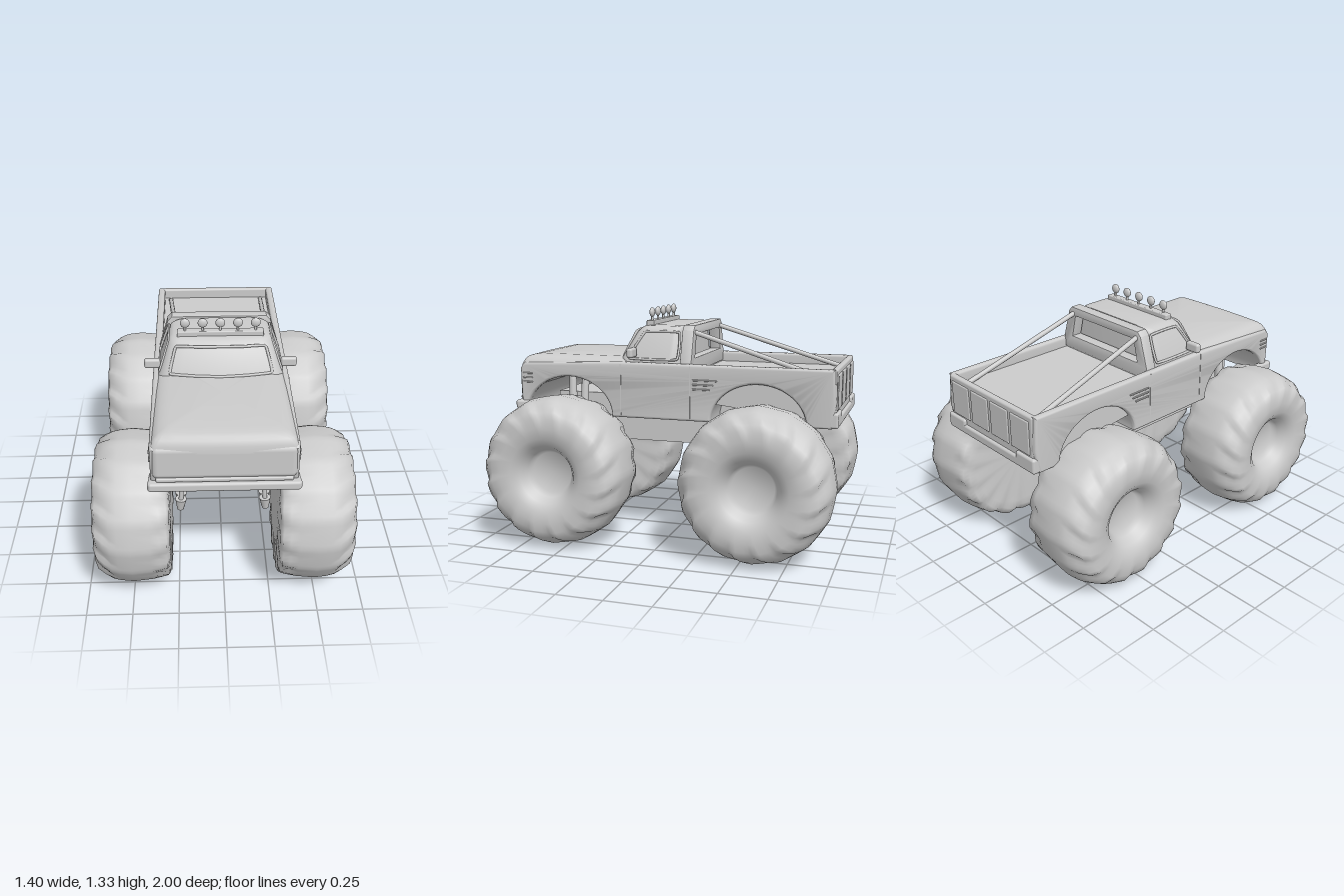
import * as THREE from 'three';
import { mergeVertices, toCreasedNormals } from 'three/addons/utils/BufferGeometryUtils.js';
import { RoundedBoxGeometry } from 'three/addons/geometries/RoundedBoxGeometry.js';

const grey = new THREE.MeshStandardMaterial({ color: 0xcccccc });
const V = (x, y, z) => new THREE.Vector3(x, y, z);

function add(parent, name, geo, x = 0, y = 0, z = 0) {
  const m = new THREE.Mesh(geo, grey);
  m.name = name;
  m.position.set(x, y, z);
  parent.add(m);
  return m;
}
const rbox = (w, h, d, r = 0.01) => new RoundedBoxGeometry(w, h, d, 3, r);
const poly = pts => new THREE.Shape(pts.map(p => new THREE.Vector2(...p)));

// Extrudes a (z, y) outline across x, from x0 to x1, with an optional bevel inside the outline
function sideExtrude(shape, x0, x1, bevel = 0) {
  const g = new THREE.ExtrudeGeometry(shape, {
    depth: x1 - x0 - 2 * bevel, curveSegments: 24, bevelEnabled: bevel > 0,
    bevelSize: bevel, bevelThickness: bevel, bevelOffset: -bevel, bevelSegments: 4,
  });
  g.rotateY(-Math.PI / 2).translate(x1 - bevel, 0, 0);
  return toCreasedNormals(g, 0.6);
}

// Cylinder between two points
function rod(parent, name, a, b, r0, r1 = r0, sides = 14) {
  const d = b.clone().sub(a);
  const m = add(parent, name, new THREE.CylinderGeometry(r1, r0, d.length(), sides));
  m.position.copy(a).addScaledVector(d, 0.5);
  m.quaternion.setFromUnitVectors(V(0, 1, 0), d.normalize());
  return m;
}

// Rounded trim following a closed outline
function trim(parent, name, pts, r) {
  const path = new THREE.CatmullRomCurve3(pts, true, 'catmullrom', 0.12);
  return add(parent, name, new THREE.TubeGeometry(path, 96, r, 8, true));
}

// Horizontal rounded rectangle whose front edge may bow forward
function ring([y, hw, z0, z1, r, bow]) {
  const pts = [];
  for (let k = 0; k < 4; k++) {
    const cx = (k < 2 ? 1 : -1) * (hw - r), cz = k === 0 || k === 3 ? z1 - r : z0 + r;
    for (let i = 0; i <= 5; i++) {
      const a = (k + i / 5) * Math.PI / 2;
      pts.push(V(cx + r * Math.sin(a), y, cz + r * Math.cos(a)));
    }
  }
  for (let i = 1; i < 10; i++) pts.push(V((hw - r) * (i / 5 - 1), y, z1));
  for (const p of pts) if (p.z > z1 - r) p.z += bow * (1 - (p.x / hw) ** 2);
  return pts;
}

// Skin over stacked rings, closed at the top
function loft(rows) {
  const rings = rows.map(ring), n = rings[0].length, pos = [], idx = [];
  rings.flat().forEach(p => pos.push(p.x, p.y, p.z));
  const last = (rings.length - 1) * n, top = rows[rows.length - 1];
  pos.push(0, top[0], (top[2] + top[3]) / 2);
  for (let i = 0; i < n; i++) {
    const j = (i + 1) % n;
    for (let k = 0; k < last; k += n) idx.push(k + i, k + j, k + n + i, k + j, k + n + j, k + n + i);
    idx.push(last + n, last + i, last + j);
  }
  const g = new THREE.BufferGeometry();
  g.setAttribute('position', new THREE.Float32BufferAttribute(pos, 3));
  g.setIndex(idx);
  return toCreasedNormals(g, 0.7);
}

// Side outline with two wheel arches; the top edge is passed in
function bodyShape(topEdge) {
  const s = new THREE.Shape();
  s.moveTo(-0.945, 0.72);
  s.lineTo(-0.81, 0.72);
  s.absellipse(-0.545, 0.72, 0.265, 0.22, Math.PI, 0, true);
  s.lineTo(0.295, 0.72);
  s.absellipse(0.56, 0.72, 0.265, 0.22, Math.PI, 0, true);
  s.lineTo(0.86, 0.8);
  topEdge.forEach(p => s.lineTo(...p));
  return s;
}

// Balloon tyre with a dished hub and notched shoulders
function tyreGeometry() {
  const profile = [[0, -0.205], [0.2, -0.205], [0.32, -0.207], [0.37, -0.205], [0.405, -0.19], [0.411, -0.15],
    [0.415, -0.1], [0.425, 0], [0.418, 0.07], [0.41, 0.11], [0.395, 0.15], [0.365, 0.19], [0.325, 0.207],
    [0.27, 0.208], [0.21, 0.2], [0.165, 0.17], [0.135, 0.125], [0.115, 0.09], [0, 0.085]];
  let g = new THREE.LatheGeometry(profile.map(p => new THREE.Vector2(...p)), 96);
  g.deleteAttribute('uv');
  g.deleteAttribute('normal');
  g = mergeVertices(g, 1e-5);
  const p = g.attributes.position, lugs = 16, step = 2 * Math.PI / lugs;
  for (let i = 0; i < p.count; i++) {
    const x = p.getX(i), y = p.getY(i), z = p.getZ(i), r = Math.hypot(x, z);
    if (r < 0.3) continue;
    const a = Math.atan2(x, z) + Math.PI;
    const t = (a / step + Math.abs(y) * 3 + (0.42 - r) * 3) % 1;
    const shoulder = THREE.MathUtils.smoothstep(Math.abs(y), 0.09, 0.16);
    const notch = t < 0.2 ? 1 - t / 0.2 : (t - 0.2) / 0.8 * 0.9;
    const facet = r > 0.38 ? Math.cos(step / 2) / Math.cos(a % step - step / 2) : 1;
    const k = (facet + (1 - facet) * 0.3) * (1 - 0.05 * shoulder * notch * (r > 0.34 ? 1 : 0.4));
    p.setXYZ(i, x * k, y * (1 - 0.05 * shoulder * notch), z * k);
  }
  g.computeVertexNormals();
  return g.rotateZ(-Math.PI / 2);
}

// Everything that exists once per side, built on +x
function buildSide(tyre) {
  const side = new THREE.Group();
  const panelTop = [[0.865, 0.98], [0.84, 1.01], [0.25, 1.035], [-0.955, 1.035], [-0.965, 0.85]];
  add(side, 'sidePanel', sideExtrude(bodyShape(panelTop), 0.335, 0.378, 0.015));
  for (const z of [0.575, -0.575]) {
    add(side, 'wheel', tyre, 0.49, 0.425, z);
    // Paired shock absorbers
    for (const s of [-1, 1]) {
      const at = (y, spread) => V(0.2 + (0.94 - y) * 0.068, y, z - 0.005 + s * spread);
      rod(side, 'shockMount', at(0.94, 0.042), at(0.87, 0.04), 0.018, 0.022);
      rod(side, 'shockBody', at(0.9, 0.04), at(0.64, 0.034), 0.022, 0.026);
      rod(side, 'shockCollar', at(0.64, 0.034), at(0.56, 0.032), 0.03, 0.02);
      rod(side, 'shockRod', at(0.58, 0.032), at(0.46, 0.028), 0.013);
      rod(side, 'shockFoot', at(0.47, 0.028), at(0.4, 0.026), 0.032, 0.018);
    }
  }
  // Mirror
  rod(side, 'mirrorArm', V(0.31, 1.055, 0.17), V(0.36, 1.085, 0.17), 0.012);
  add(side, 'mirror', rbox(0.09, 0.055, 0.035, 0.014), 0.38, 1.09, 0.17);
  // Bed support bar
  rod(side, 'bedBar', V(0.26, 1.205, -0.15), V(0.297, 0.975, -0.9), 0.014);
  // Side window trim, following the lean of the cab
  const onGlass = (y, z) => V(0.343 - (y - 1.05) * 0.365, y, z);
  trim(side, 'sideWindowTrim', [onGlass(1.055, 0.2), onGlass(1.2, 0.12), onGlass(1.2, -0.08), onGlass(1.055, -0.08)], 0.007);
  // Short fins behind the door and behind the nose
  for (let i = 0; i < 3; i++) {
    add(side, 'rearFin', rbox(0.012, 0.009, 0.14 - i * 0.02, 0.004), 0.379, 0.95 - i * 0.025, -0.25 + i * 0.01);
    add(side, 'frontFin', rbox(0.012, 0.009, 0.06, 0.004), 0.379, 0.95 - i * 0.025, 0.815);
  }
  // Door seams
  for (const z of [0.24, -0.165]) add(side, 'doorSeam', new THREE.BoxGeometry(0.004, 0.29, 0.005), 0.378, 0.88, z);
  return side;
}

export function createModel() {
  const truck = new THREE.Group();
  truck.name = 'monsterTruck';

  const left = buildSide(tyreGeometry());
  left.name = 'leftSide';
  const right = left.clone();
  right.name = 'rightSide';
  right.scale.x = -1;
  truck.add(left, right);

  // Inner body with the bed floor
  const coreTop = [[0.86, 0.98], [0.82, 1], [-0.16, 1], [-0.16, 0.975], [-0.95, 0.975]];
  add(truck, 'bodyCore', sideExtrude(bodyShape(coreTop), -0.35, 0.35));
  add(truck, 'chassis', sideExtrude(poly([[-0.72, 0.67], [-0.45, 0.55], [0.45, 0.55], [0.72, 0.67],
    [0.72, 0.82], [-0.72, 0.82]]), -0.16, 0.16));

  // Hood and cab
  add(truck, 'hood', loft([[0.96, 0.376, 0.12, 0.865, 0.03, 0.012], [1.0, 0.372, 0.12, 0.862, 0.03, 0.012],
    [1.03, 0.352, 0.12, 0.85, 0.03, 0.012], [1.045, 0.33, 0.12, 0.835, 0.03, 0.012],
    [1.052, 0.305, 0.12, 0.81, 0.03, 0.012], [1.058, 0.28, 0.12, 0.77, 0.03, 0]]));
  add(truck, 'cab', loft([[0.99, 0.355, -0.09, 0.27, 0.06, 0.04], [1.05, 0.343, -0.09, 0.25, 0.06, 0.04],
    [1.2, 0.288, -0.09, 0.17, 0.05, 0.03], [1.222, 0.277, -0.09, 0.15, 0.05, 0.025],
    [1.232, 0.258, -0.09, 0.13, 0.05, 0.02], [1.236, 0.22, -0.09, 0.09, 0.04, 0.02]]));
  const glass = (x, y) => V(x, y, 0.252 - (y - 1.05) * 0.53 + 0.037 * (1 - (x / 0.31) ** 2));
  trim(truck, 'windshieldTrim', [[-0.28, 1.065], [-0.14, 1.062], [0, 1.06], [0.14, 1.062], [0.28, 1.065], [0.265, 1.14],
    [0.245, 1.2], [0.12, 1.203], [0, 1.205], [-0.12, 1.203], [-0.245, 1.2], [-0.265, 1.14]].map(p => glass(...p)), 0.008);

  // Hoop framing the recessed rear window
  const hoop = poly([[-0.357, 0.98], [0.357, 0.98], [0.345, 1.05], [0.297, 1.215], [0.272, 1.241],
    [-0.272, 1.241], [-0.297, 1.215], [-0.345, 1.05]]);
  hoop.holes.push(poly([[-0.27, 1.06], [-0.24, 1.19], [0.24, 1.19], [0.27, 1.06]]));
  const hoopGeo = new THREE.ExtrudeGeometry(hoop, { depth: 0.055, bevelSize: 0.006, bevelOffset: -0.006, bevelThickness: 0.006, bevelSegments: 2 });
  add(truck, 'rearCabHoop', toCreasedNormals(hoopGeo, 0.6), 0, 0, -0.16);

  // Roof light bar
  add(truck, 'lightBar', rbox(0.48, 0.035, 0.045, 0.006), 0, 1.243, 0.11);
  for (let i = -2; i <= 2; i++) {
    const x = i * 0.0975;
    rod(truck, 'lightStem', V(x, 1.25, 0.112), V(x, 1.29, 0.112), 0.007);
    add(truck, 'roofLight', new THREE.SphereGeometry(0.027, 20, 14), x, 1.304, 0.112).scale.z = 0.55;
  }

  // Nose
  add(truck, 'nosePanel', rbox(0.745, 0.2, 0.08, 0.035), 0, 0.9, 0.835);
  add(truck, 'noseLip', rbox(0.7, 0.025, 0.05, 0.01), 0, 0.803, 0.855);
  add(truck, 'frontBumper', rbox(0.78, 0.05, 0.065, 0.014), 0, 0.765, 0.862);
  for (const s of [-1, 1]) {
    const end = add(truck, 'frontBumperEnd', rbox(0.04, 0.05, 0.12, 0.014), s * 0.37, 0.765, 0.83);
    end.rotation.y = s * 0.1;
  }

  // Tailgate and stepped rear bumper
  add(truck, 'tailgate', rbox(0.72, 0.3, 0.035, 0.012), 0, 0.885, -0.947);
  for (let i = -1.5; i <= 1.5; i++) add(truck, 'tailgatePanel', rbox(0.15, 0.19, 0.014, 0.006), i * 0.172, 0.91, -0.964);
  add(truck, 'rearBumper', rbox(0.74, 0.055, 0.06, 0.014), 0, 0.75, -0.95);
  for (const s of [-1, 1]) add(truck, 'rearBumperEnd', rbox(0.15, 0.085, 0.06, 0.014), s * 0.3, 0.765, -0.95);

  return truck;
}
